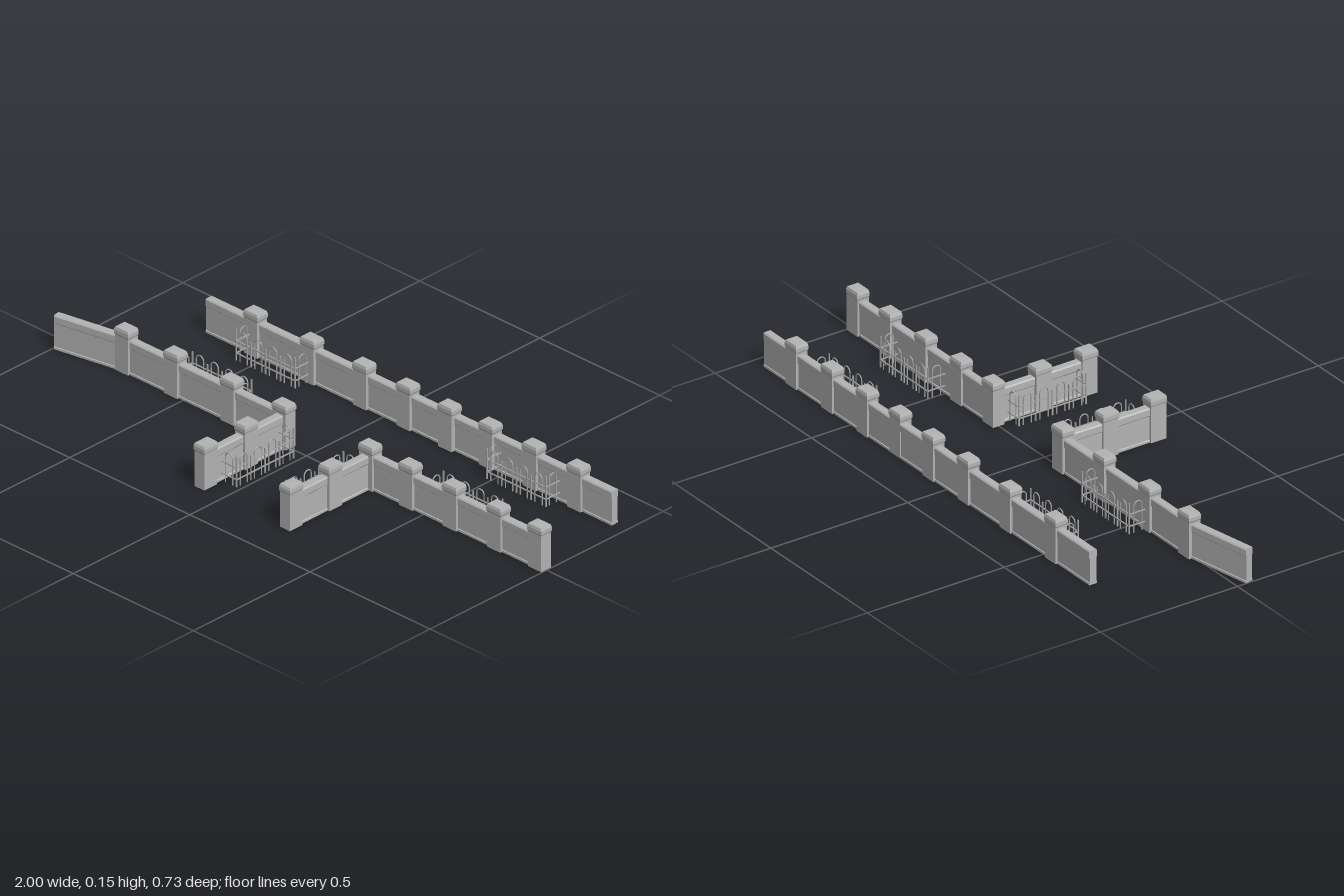
import * as THREE from 'three';
import { mergeGeometries } from 'three/addons/utils/BufferGeometryUtils.js';

const stone = new THREE.MeshStandardMaterial({ color: 0xb4b4b4 });
stone.name = 'grey stone';
const iron = new THREE.MeshStandardMaterial({ color: 0xa8a8a8 });
iron.name = 'grey iron';

// Wall cross-section: plinth, recessed panel, overhanging coping
function wallShape() {
  const half = [[0.0145, 0], [0.0145, 0.007], [0.012, 0.009], [0.012, 0.088], [0.0145, 0.091], [0.0145, 0.112], [0.011, 0.116]];
  const left = half.map(([x, y]) => [-x, y]).reverse();
  return new THREE.Shape([...half, ...left].map(([x, y]) => new THREE.Vector2(x, y)));
}

function wall(x1, z1, x2, z2) {
  const dx = x2 - x1, dz = z2 - z1;
  const geo = new THREE.ExtrudeGeometry(wallShape(), { depth: Math.hypot(dx, dz), bevelEnabled: false });
  const mesh = new THREE.Mesh(geo, stone);
  mesh.name = 'wall';
  mesh.rotation.y = Math.atan2(dx, dz);
  mesh.position.set(x1, 0, z1);
  return mesh;
}

// Square pillar with a chamfered cap, as a four-sided lathe with flat faces
function pillarGeometry() {
  const profile = [[0, 0], [0.5, 0], [0.5, 0.122], [0.54, 0.127], [0.54, 0.139], [0.48, 0.148], [0, 0.149]];
  const pts = profile.map(([r, y]) => new THREE.Vector2(r * Math.SQRT2, y));
  const geo = new THREE.LatheGeometry(pts, 4).rotateY(Math.PI / 4).scale(0.055, 1, 0.042).toNonIndexed();
  geo.computeVertexNormals();
  return geo;
}

// Upright hoop of bar, standing in the xy plane and centred on x
function hoop(x, width) {
  const r = width / 2, spring = 0.108 - r;
  const pts = [[-r, 0.005], [-r, 0.035], [-r, spring - 0.01]];
  for (let i = 0; i <= 8; i++) {
    const a = Math.PI * (1 - i / 8);
    pts.push([r * Math.cos(a), spring + r * Math.sin(a)]);
  }
  pts.push([r, spring - 0.01], [r, 0.035], [r, 0.005]);
  const curve = new THREE.CatmullRomCurve3(pts.map(([px, py]) => new THREE.Vector3(x + px, py, 0)));
  return new THREE.TubeGeometry(curve, 36, 0.0021, 6);
}

// Straight run of railing along x: two rails, end posts and a row of hoops
function railing(length, hoops, posts) {
  const parts = [];
  for (const y of [0.03, 0.071]) parts.push(new THREE.BoxGeometry(length, 0.003, 0.004).translate(0, y, 0));
  const step = length / hoops;
  for (let i = 0; i < hoops; i++) parts.push(hoop((i + 0.5) * step - length / 2, 0.03));
  for (let i = 0; posts && i <= hoops; i++) {
    const end = i === 0 || i === hoops;
    const h = end ? 0.105 : 0.085;
    const x = i * step - length / 2;
    parts.push(new THREE.BoxGeometry(0.004, h, 0.004).translate(x, 0.005 + h / 2, 0));
  }
  return mergeGeometries(parts.map(p => p.index ? p.toNonIndexed() : p));
}

// Three-sided grave enclosure, open towards the wall
function enclosure(x, z, turn, depth) {
  const length = 0.245;
  const g = new THREE.Group();
  g.name = 'railedEnclosure';
  const front = new THREE.Mesh(railing(length, 4, true), iron);
  front.name = 'frontRailing';
  front.position.z = depth;
  g.add(front);
  const sideGeo = railing(depth, 1, false);
  for (const s of [-1, 1]) {
    const side = new THREE.Mesh(sideGeo, iron);
    side.name = 'sideRailing';
    side.rotation.y = Math.PI / 2;
    side.position.set(s * length / 2, 0, depth / 2);
    g.add(side);
  }
  g.position.set(x, 0, z);
  g.rotation.y = turn;
  return g;
}

export function createModel() {
  const model = new THREE.Group();
  model.name = 'walledYard';

  // Wall runs: back, angled wing, front halves, entrance returns
  const runs = [
    [-0.74, -0.344, 0.95, -0.344],
    [-0.997, 0.045, -0.76, 0],
    [-0.75, 0, -0.092, 0],
    [0.266, 0, 0.97, 0],
    [-0.092, 0, -0.092, 0.337],
    [0.264, 0, 0.264, 0.337],
  ];
  for (const r of runs) model.add(wall(...r));

  // Pillars
  const geo = pillarGeometry();
  const pillar = (x, z, turn = 0) => {
    const p = new THREE.Mesh(geo, stone);
    p.name = 'pillar';
    p.position.set(x, 0, z);
    p.rotation.y = turn;
    model.add(p);
  };
  for (const x of [-0.545, -0.31, -0.092, 0.09, 0.433, 0.615, 0.8]) pillar(x, -0.343);
  pillar(0.268, -0.338);
  for (const x of [-0.75, -0.545, -0.31, -0.094, 0.266, 0.433, 0.615, 0.8, 0.97]) pillar(x, 0);
  for (const [x, z] of [[-0.092, 0.163], [-0.092, 0.337], [0.264, 0.168], [0.264, 0.337]]) pillar(x, z, Math.PI / 2);

  // Railed enclosures against the walls
  model.add(
    enclosure(-0.428, -0.329, 0, 0.063),
    enclosure(0.613, -0.329, 0, 0.06),
    enclosure(-0.428, -0.016, Math.PI, 0.063),
    enclosure(0.617, -0.016, Math.PI, 0.063),
    enclosure(-0.073, 0.166, Math.PI / 2, 0.062),
    enclosure(0.255, 0.166, -Math.PI / 2, 0.059),
  );
  return model;
}
